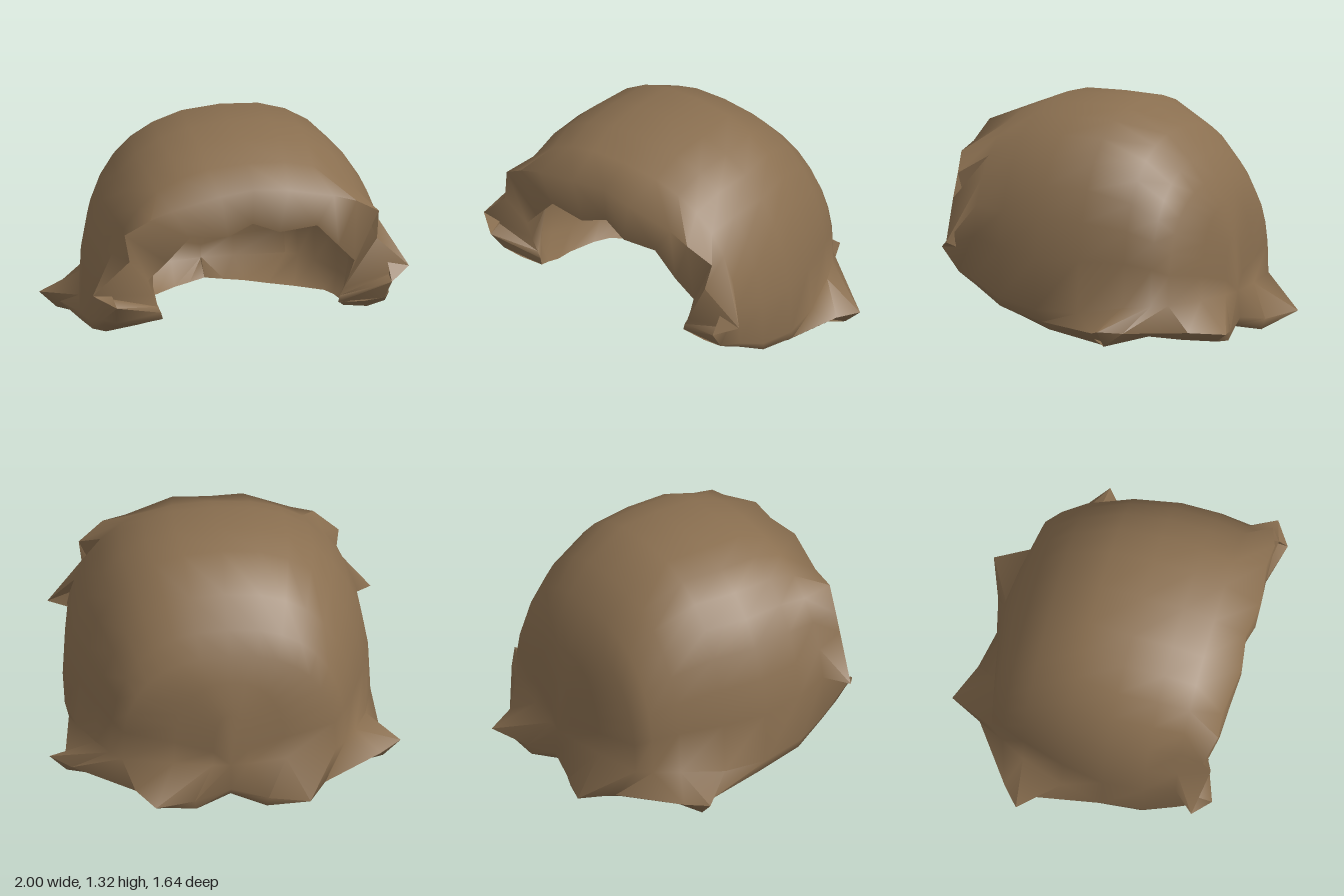
import * as THREE from 'three';
import { mergeVertices, toCreasedNormals } from 'three/addons/utils/BufferGeometryUtils.js';

const STEPS = 8; // points from crown to hem on each side

// Arches from back to front: z, crown height, half width, rim height; then hem tip, underside and inner lip points
const STATIONS = [
  { z: -0.665, top: 0.25, w: 0, rim: 0.25, tip: [0, 0.1, -0.68], under: [0, 0.05, -0.64], lip: [0, 0.05, -0.45] },
  { z: -0.64, top: 0.56, w: 0.1, rim: 0.24, tip: [0.21, 0.06, -0.73], under: [0.2, 0, -0.71], lip: [0.1, 0.058, -0.39] },
  { z: -0.6, top: 0.75, w: 0.32, rim: 0.24, tip: [0.44, 0.08, -0.82], under: [0.36, 0.02, -0.72], lip: [0.2, 0.067, -0.33] },
  { z: -0.54, top: 0.89, w: 0.61, rim: 0.25, tip: [0.54, 0.09, -0.63], under: [0.5, 0.04, -0.57], lip: [0.32, 0.077, -0.24] },
  { z: -0.46, top: 1.02, w: 0.67, rim: 0.25, tip: [0.88, 0.12, -0.39], under: [0.64, 0.07, -0.43], lip: [0.45, 0.087, -0.15] },
  { z: -0.32, top: 1.17, w: 0.74, rim: 0.24, tip: [1.0, 0.14, -0.29], under: [0.9, 0.04, -0.28], lip: [0.6, 0.1, -0.03] },
  { z: -0.07, top: 1.31, w: 0.82, rim: 0.2, tip: [0.9, 0.11, -0.2], under: [0.76, 0.02, -0.2], lip: [0.63, 0.12, 0.08] },
  { z: 0.18, top: 1.315, w: 0.87, rim: 0.21, tip: [0.85, 0.14, 0.14], under: [0.8, 0.09, 0.12], lip: [0.66, 0.14, 0.26] },
  { z: 0.42, top: 1.31, w: 0.86, rim: 0.26, tip: [0.85, 0.21, 0.41], under: [0.76, 0.16, 0.36], lip: [0.6, 0.22, 0.44] },
  { z: 0.6, top: 1.24, w: 0.83, rim: 0.35, tip: [0.82, 0.31, 0.58], under: [0.75, 0.28, 0.56], lip: [0.55, 0.31, 0.6] },
];

// Jagged fringe and the face opening, crown to hem on the left side
const FRINGE = [[0, 1.16, 0.79], [0.2, 1.15, 0.82], [0.47, 1.07, 0.78], [0.6, 1.03, 0.79], [0.74, 0.93, 0.74],
  [0.72, 0.78, 0.78], [0.92, 0.56, 0.72], [0.8, 0.51, 0.81], [0.78, 0.37, 0.71]];
const OPENING = [[0, 0.94, 0.77], [0.15, 0.885, 0.8], [0.37, 0.9, 0.79], [0.5, 0.75, 0.77], [0.6, 0.63, 0.73],
  [0.57, 0.53, 0.72], [0.54, 0.45, 0.71], [0.52, 0.41, 0.71], [0.51, 0.37, 0.71]];

const flip = ([x, y, z]) => [-x, y, z];

// Half row (crown to left hem) -> full row, left hem over the crown to right hem
const fullRow = (half) => [...half.slice(1).reverse(), ...half.map(flip)];

function arch({ z, top, w, rim }) {
  const half = [];
  for (let k = 0; k <= STEPS; k++) {
    const a = (k / STEPS) * Math.PI / 2;
    const s = k === 0 ? 0 : Math.sin(a) ** 0.8;
    const c = k === STEPS ? 0 : Math.cos(a) ** 0.8;
    half.push([w * s, rim + (top - rim) * c, z]);
  }
  return fullRow(half);
}

// Matching arch of the lining, set in by the thickness of the hair
function inner({ z, top, w, lip }) {
  const rim = lip[1] + 0.08;
  return { z: z * 0.84, top: Math.max(top - 0.13, rim), w: Math.max(w - 0.14, 0), rim };
}

// Triangles between successive rows, leaving out collapsed ones
function skin(rows, out) {
  const same = (p, q) => Math.hypot(p[0] - q[0], p[1] - q[1], p[2] - q[2]) < 1e-5;
  const tri = (a, b, c) => {
    if (!same(a, b) && !same(b, c) && !same(a, c)) out.push(...a, ...b, ...c);
  };
  for (let i = 0; i < rows.length - 1; i++) {
    for (let k = 0; k < rows[i].length - 1; k++) {
      const a = rows[i][k], b = rows[i][k + 1], c = rows[i + 1][k], d = rows[i + 1][k + 1];
      tri(a, b, c);
      tri(b, d, c);
    }
  }
}

export function createModel() {
  const group = new THREE.Group();
  group.name = 'hairpiece';
  const brown = new THREE.MeshStandardMaterial({ color: 0x8a6f50, side: THREE.DoubleSide });
  brown.name = 'brown hair';

  const triangles = [];

  // Outer dome, rolled over the fringe into the inner lining
  skin([
    ...STATIONS.map(arch),
    fullRow(FRINGE),
    fullRow(OPENING),
    ...STATIONS.map(inner).reverse().map(arch),
  ], triangles);

  // Flicked hem: rim, pointed tip, broad underside, inner lip, lining edge
  const hemLeft = STATIONS.map((s) => {
    const n = inner(s);
    return [[s.w, s.rim, s.z], s.tip, s.under, s.lip, [n.w, n.rim, n.z]];
  });
  const corner = FRINGE[STEPS], inside = OPENING[STEPS];
  hemLeft.push([corner, corner, [0.66, 0.36, 0.71], inside, inside]);
  const hemRight = hemLeft.slice(1).map((column) => column.map(flip));
  skin([...hemLeft.reverse(), ...hemRight], triangles);

  let geometry = new THREE.BufferGeometry();
  geometry.setAttribute('position', new THREE.Float32BufferAttribute(triangles, 3));
  geometry = toCreasedNormals(mergeVertices(geometry, 1e-4), 1.35);

  const hair = new THREE.Mesh(geometry, brown);
  hair.name = 'hair';
  group.add(hair);
  return group;
}
